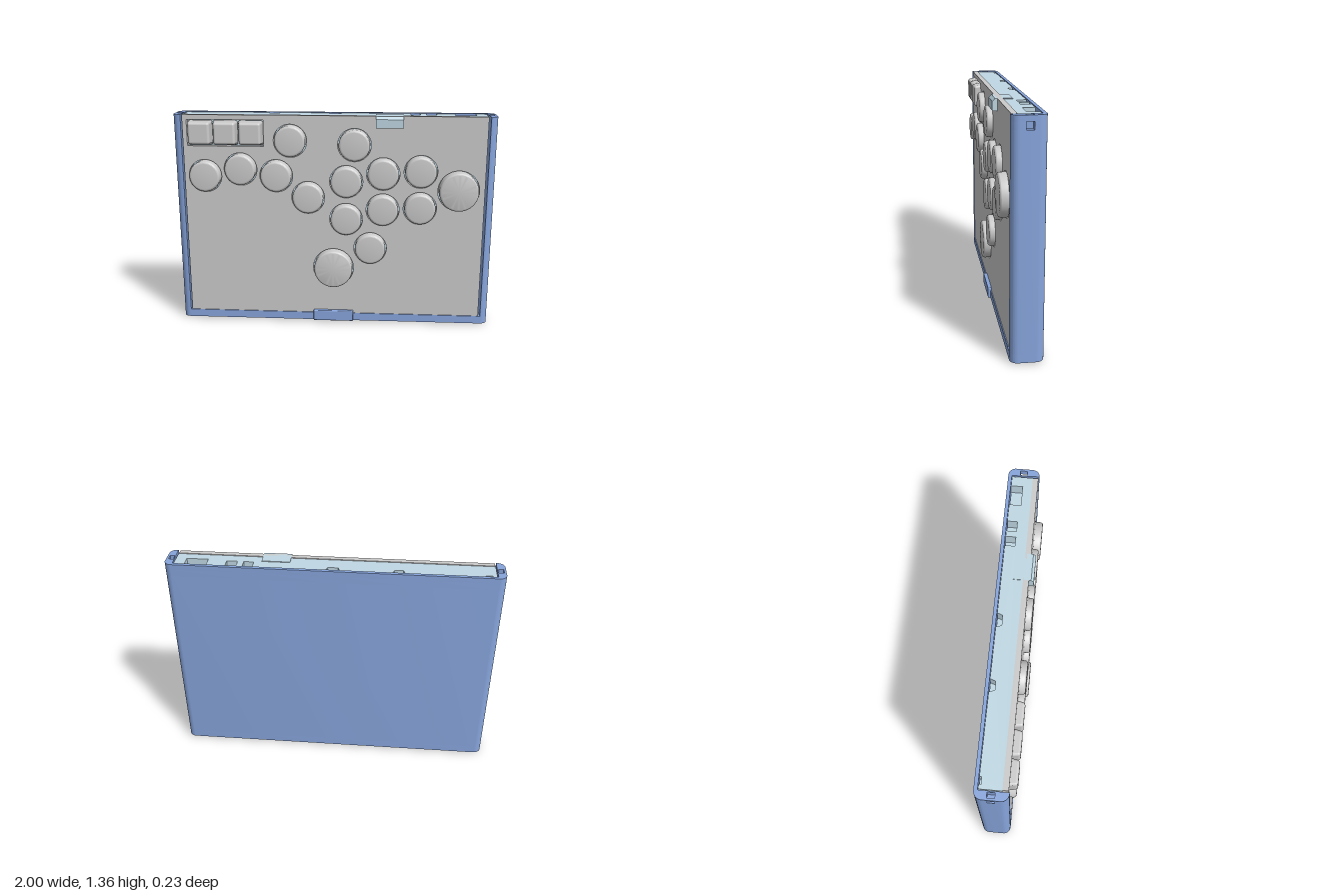
import * as THREE from 'three';
import { toCreasedNormals } from 'three/addons/utils/BufferGeometryUtils.js';
import { RoundedBoxGeometry } from 'three/addons/geometries/RoundedBoxGeometry.js';

const FRONT = 0.075, BACK = -0.113, R = 0.045, TOP = 1.355, INNER = 0.95;
const grey = new THREE.MeshStandardMaterial({ color: 0xcccccc });
const blue = new THREE.MeshStandardMaterial({ color: 0x87a5dc });
const pale = new THREE.MeshStandardMaterial({ color: 0xc0d8e4 });

function add(parent, name, geometry, material, x = 0, y = 0, z = 0) {
  const mesh = new THREE.Mesh(geometry, material);
  mesh.name = name;
  mesh.position.set(x, y, z);
  parent.add(mesh);
  return mesh;
}

// Extrudes a plan outline (x, -z) upwards from y0 to y1.
function rise(shape, y0, y1) {
  const g = new THREE.ExtrudeGeometry(shape, { depth: y1 - y0, bevelEnabled: false, curveSegments: 8 });
  g.rotateX(-Math.PI / 2).translate(0, y0, 0);
  return toCreasedNormals(g, 0.6);
}

function rect(path, x0, y0, x1, y1) {
  path.moveTo(x0, y0).lineTo(x1, y0).lineTo(x1, y1).lineTo(x0, y1).closePath();
  return path;
}

// Plan of the case: rounded outside, optionally hollow, optionally notched at the sides.
function casePlan(hollow, notch) {
  const s = new THREE.Shape(), f = -FRONT, b = -BACK, q = Math.PI / 2;
  s.moveTo(INNER, f);
  s.absarc(1 - R, f + R, R, -q, 0);
  if (notch) s.lineTo(1, 0).lineTo(0.957, 0).lineTo(0.957, 0.042).lineTo(1, 0.042);
  s.absarc(1 - R, b - R, R, 0, q);
  s.absarc(-1 + R, b - R, R, q, 2 * q);
  if (notch) s.lineTo(-1, 0.042).lineTo(-0.957, 0.042).lineTo(-0.957, 0).lineTo(-1, 0);
  s.absarc(-1 + R, f + R, R, 2 * q, 3 * q);
  s.lineTo(-INNER, f);
  if (hollow) s.lineTo(-INNER, 0.092).lineTo(INNER, 0.092);
  s.closePath();
  return s;
}

// Tray plan with connector notches open towards the back: [x0, x1, depth, slant].
function trayPlan(notches) {
  const s = new THREE.Shape();
  s.moveTo(-0.945, -0.036).lineTo(0.945, -0.036).lineTo(0.945, 0.09);
  for (const [x0, x1, d, k] of [...notches].reverse())
    s.lineTo(x1, 0.09).lineTo(x1 - k, 0.09 - d).lineTo(x0 + k, 0.09 - d).lineTo(x0, 0.09);
  s.lineTo(-0.945, 0.09).closePath();
  return s;
}

// Round button cap, turned to face the front.
function capGeometry(r, h) {
  const c = 0.016, pts = [new THREE.Vector2(r, 0)];
  for (let i = 0; i <= 5; i++) {
    const a = (i / 5) * Math.PI / 2;
    pts.push(new THREE.Vector2(r - c + c * Math.cos(a), h - c + c * Math.sin(a)));
  }
  pts.push(new THREE.Vector2(0, h));
  return toCreasedNormals(new THREE.LatheGeometry(pts, 48).rotateX(Math.PI / 2), 0.6);
}

export function createModel() {
  const model = new THREE.Group();
  model.name = 'buttonController';

  // Case, with small elbow channels near the tops of both side rails
  const shell = new THREE.Group();
  shell.name = 'case';
  model.add(shell);
  add(shell, 'caseBottom', rise(casePlan(false, false), 0.01, 0.06), blue);
  add(shell, 'caseWalls', rise(casePlan(true, false), 0.06, 1.28), blue);
  add(shell, 'caseNotchedBand', rise(casePlan(true, true), 1.28, 1.322), blue);
  const rim = casePlan(true, false);
  for (const s of [-1, 1]) rim.holes.push(rect(new THREE.Path(), s * 0.972 - 0.015, 0, s * 0.972 + 0.015, 0.042));
  add(shell, 'caseTopBand', rise(rim, 1.322, TOP), blue);
  add(shell, 'bottomClip', new RoundedBoxGeometry(0.26, 0.07, 0.08, 2, 0.006), blue, 0, 0.045, 0.052);
  add(shell, 'bottomPlug', new THREE.CylinderGeometry(0.042, 0.042, 0.02, 32), grey, 0, 0.01, -0.024);

  // Inner tray with connector openings along its top
  const notches = [
    [-0.92, -0.88, 0.012, 0], [-0.42, -0.345, 0.032, 0.012], [-0.04, 0.045, 0.032, 0.012],
    [0.475, 0.535, 0.06, 0], [0.572, 0.637, 0.06, 0], [0.75, 0.88, 0.07, 0],
  ];
  add(model, 'tray', rise(trayPlan([]), 0.06, 1.28), pale);
  add(model, 'trayTop', rise(trayPlan(notches), 1.28, TOP - 0.004), pale);

  // Latch that hooks over the front panel, sloped at its upper front edge
  const hook = new THREE.Shape();
  hook.moveTo(-0.02, 1.285).lineTo(0.098, 1.285).lineTo(0.098, 1.338).lineTo(0.082, TOP).lineTo(-0.02, TOP).closePath();
  const latch = new THREE.ExtrudeGeometry(hook, { depth: 0.17, bevelEnabled: false });
  latch.rotateY(-Math.PI / 2);
  add(model, 'latch', latch, pale, 0.43);

  // Buttons: x, y, radius
  const buttons = [
    [-0.81, 0.97], [-0.585, 1.015], [-0.36, 0.975], [-0.27, 1.197], [-0.16, 0.838],
    [0.13, 1.175], [0.08, 0.943], [0.31, 0.995], [0.543, 1.012], [0.08, 0.7],
    [0.31, 0.765], [0.543, 0.778], [0.235, 0.51],
  ].map(([x, y]) => [x, y, 0.097]);
  buttons.push([0.78, 0.893, 0.122], [0, 0.373, 0.122]);

  // Front panel with a clearance hole for each button and a slot for the keys
  const plate = rect(new THREE.Shape(), -0.942, 0.06, 0.942, TOP);
  for (const [x, y, r] of buttons) plate.holes.push(new THREE.Path().absarc(x, y, r + 0.007, 0, Math.PI * 2));
  plate.holes.push(rect(new THREE.Path(), -0.915, 1.16, -0.435, 1.325));
  const panel = new THREE.ExtrudeGeometry(plate, { depth: 0.033, bevelEnabled: false, curveSegments: 24 });
  add(model, 'frontPanel', toCreasedNormals(panel, 0.6), grey, 0, 0, 0.036);

  const caps = new THREE.Group();
  caps.name = 'buttons';
  model.add(caps);
  for (const [x, y, r] of buttons)
    add(caps, 'button', capGeometry(r, r > 0.1 ? 0.081 : 0.07), grey, x, y, 0.036);

  // Three square keys, narrowing towards the front
  const key = new RoundedBoxGeometry(0.154, 0.154, 0.078, 4, 0.016);
  const p = key.attributes.position;
  for (let i = 0; i < p.count; i++) {
    const t = 1 - 0.14 * Math.max(0, (p.getZ(i) + 0.02) / 0.059);
    p.setXY(i, p.getX(i) * t, p.getY(i) * t);
  }
  const keys = new THREE.Group();
  keys.name = 'keys';
  model.add(keys);
  for (let i = 0; i < 3; i++) add(keys, 'key', key, grey, -0.833 + i * 0.159, 1.243, 0.074);

  return model;
}
